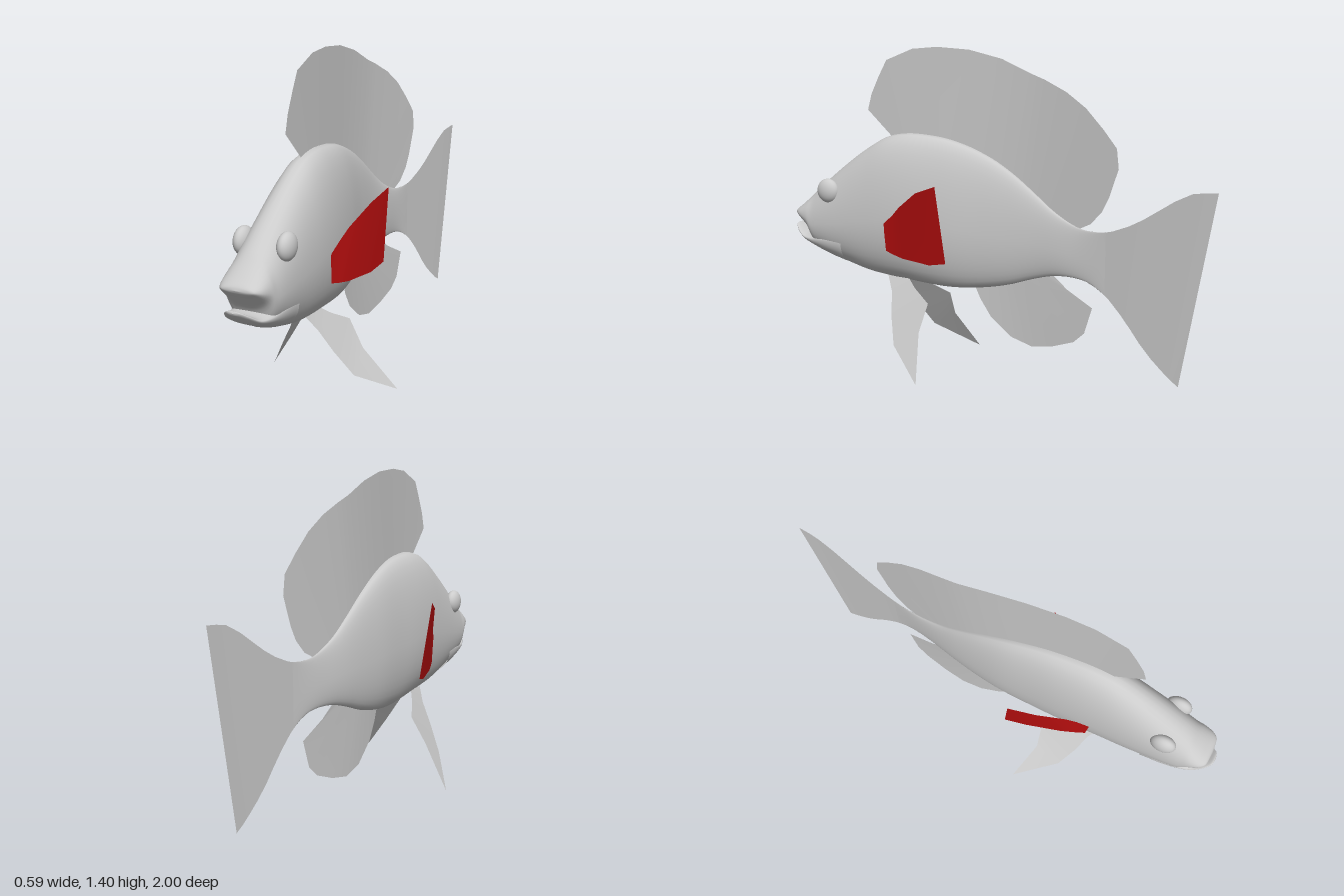
import * as THREE from 'three';

const grey = new THREE.MeshStandardMaterial({ color: 0xcccccc, side: THREE.DoubleSide });
const red = new THREE.MeshStandardMaterial({ color: 0xbb0f0f, side: THREE.DoubleSide });

// Sideways bend of the swimming body: [z, x]
const BEND = [[-1.02, 0.1], [-0.95, 0.095], [-0.75, 0.07], [-0.53, 0.04], [-0.38, 0.018], [-0.2, -0.004],
  [0, -0.008], [0.2, 0.004], [0.45, 0.014], [0.7, 0.016], [1.02, 0.016]];

// Smooth interpolation through the bend table
function spine(z) {
  const n = BEND.length;
  let i = 0;
  while (i < n - 2 && z > BEND[i + 1][0]) i++;
  const slope = k => {
    const a = BEND[Math.max(k - 1, 0)], b = BEND[Math.min(k + 1, n - 1)];
    return (b[1] - a[1]) / (b[0] - a[0]);
  };
  const [z0, x0] = BEND[i], [z1, x1] = BEND[i + 1];
  const h = z1 - z0, t = Math.min(1, Math.max(0, (z - z0) / h)), s = 1 - t;
  return x0 * s * s * (1 + 2 * t) + x1 * t * t * (3 - 2 * t) + h * t * s * (s * slope(i) - t * slope(i + 1));
}

function surface(name, positions, index, material) {
  const g = new THREE.BufferGeometry();
  g.setAttribute('position', new THREE.Float32BufferAttribute(positions, 3));
  g.setIndex(index);
  g.computeVertexNormals();
  const mesh = new THREE.Mesh(g, material);
  mesh.name = name;
  return mesh;
}

// Oval cross-sections from front to back; rows are [z, top, bottom, half width]
function loft(name, rows, middle, rings = 80, sides = 36) {
  const curve = k => new THREE.CatmullRomCurve3(
    rows.map(r => new THREE.Vector3(0, r[k], r[0])), false, 'centripetal');
  const top = curve(1), bottom = curve(2), side = curve(3);
  const pos = [], index = [];
  for (let i = 0; i <= rings; i++) {
    const t = i / rings;
    const a = top.getPoint(t), b = bottom.getPoint(t), w = Math.max(0, side.getPoint(t).y);
    const mid = b.y + (a.y - b.y) * middle;
    for (let j = 0; j < sides; j++) {
      const angle = j / sides * Math.PI * 2, c = Math.cos(angle), s = Math.sin(angle);
      const z = THREE.MathUtils.lerp(b.z, a.z, (s + 1) / 2);
      const x = Math.sign(c) * Math.pow(Math.abs(c), 0.93) * w;
      pos.push(spine(z) + x, mid + s * (s > 0 ? a.y - mid : mid - b.y), z);
      if (i < rings) {
        const p = i * sides + j, q = i * sides + (j + 1) % sides;
        index.push(p, p + sides, q, q, p + sides, q + sides);
      }
    }
  }
  return surface(name, pos, index, grey);
}

// Thin sheet between two edges with matching [x, y, z] points
function sheet(name, a, b, material = grey) {
  const pos = [], index = [];
  a.forEach((p, i) => {
    pos.push(...p, ...b[i]);
    if (i) index.push(2 * i - 2, 2 * i - 1, 2 * i, 2 * i, 2 * i - 1, 2 * i + 1);
  });
  return surface(name, pos, index, material);
}

// Upright fin following the bend; rows are [z, y] of one edge, then [z, y] of the other
function medianFin(name, rows) {
  const point = (z, y) => [spine(z), y, z];
  return sheet(name, rows.map(r => point(r[0], r[1])), rows.map(r => point(r[2], r[3])));
}

export function createModel() {
  const fish = new THREE.Group();
  fish.name = 'fish';

  // Body with upper jaw
  fish.add(loft('body', [
    [0.972, 0.652, 0.652, 0], [0.966, 0.666, 0.64, 0.062], [0.94, 0.688, 0.612, 0.086],
    [0.895, 0.728, 0.56, 0.099], [0.86, 0.762, 0.485, 0.104], [0.8, 0.812, 0.457, 0.109],
    [0.7, 0.89, 0.425, 0.113], [0.6, 0.96, 0.4, 0.115], [0.5, 1.015, 0.387, 0.115],
    [0.4, 1.035, 0.379, 0.112], [0.3, 1.033, 0.37, 0.105], [0.2, 1.02, 0.365, 0.094],
    [0.1, 0.992, 0.37, 0.081], [0, 0.95, 0.385, 0.067], [-0.1, 0.892, 0.41, 0.052],
    [-0.2, 0.82, 0.445, 0.038], [-0.3, 0.747, 0.473, 0.025], [-0.4, 0.698, 0.48, 0.012],
    [-0.47, 0.685, 0.468, 0.005], [-0.54, 0.69, 0.43, 0],
  ], 0.43));

  // Lower jaw
  fish.add(loft('lowerJaw', [
    [1, 0.58, 0.58, 0], [0.995, 0.587, 0.57, 0.026], [0.97, 0.573, 0.547, 0.052],
    [0.93, 0.55, 0.518, 0.073], [0.88, 0.553, 0.492, 0.087], [0.8, 0.58, 0.457, 0.098], [0.7, 0.6, 0.427, 0.1],
  ], 0.6, 30));

  // Tail fin
  fish.add(medianFin('tailFin', [
    [-0.46, 0.686, -0.46, 0.47], [-0.52, 0.685, -0.51, 0.45], [-0.57, 0.698, -0.56, 0.413],
    [-0.64, 0.727, -0.61, 0.363], [-0.7, 0.76, -0.66, 0.305], [-0.76, 0.8, -0.7, 0.255],
    [-0.83, 0.847, -0.75, 0.203], [-0.9, 0.883, -0.8, 0.16], [-0.95, 0.891, -0.835, 0.132], [-1, 0.895, -0.87, 0.11],
  ]));

  // Dorsal fin
  fish.add(medianFin('dorsalFin', [
    [0.6, 1.13, 0.47, 1.01], [0.58, 1.2, 0.45, 1.01], [0.54, 1.28, 0.42, 1.01], [0.5, 1.35, 0.39, 1.01],
    [0.37, 1.4, 0.32, 1.01], [0.25, 1.41, 0.23, 1], [0.1, 1.4, 0.1, 0.97], [-0.05, 1.365, -0.03, 0.91],
    [-0.18, 1.31, -0.13, 0.85], [-0.25, 1.285, -0.19, 0.81], [-0.35, 1.24, -0.25, 0.77],
    [-0.44, 1.18, -0.29, 0.74], [-0.52, 1.1, -0.32, 0.72], [-0.58, 1.03, -0.34, 0.71],
    [-0.59, 0.95, -0.36, 0.7], [-0.55, 0.83, -0.38, 0.69], [-0.52, 0.77, -0.4, 0.69], [-0.47, 0.715, -0.41, 0.685],
  ]));

  // Anal fin
  fish.add(medianFin('analFin', [
    [0.08, 0.39, 0.07, 0.42], [0.05, 0.325, 0.03, 0.42], [0, 0.25, 0, 0.42], [-0.1, 0.172, -0.05, 0.43],
    [-0.2, 0.145, -0.1, 0.44], [-0.3, 0.165, -0.15, 0.46], [-0.4, 0.203, -0.19, 0.47],
    [-0.45, 0.25, -0.22, 0.48], [-0.485, 0.365, -0.25, 0.485], [-0.38, 0.415, -0.28, 0.49],
  ]));

  for (const side of [1, -1]) {
    const label = side > 0 ? 'left' : 'right';

    // Eyes
    const eye = new THREE.Mesh(new THREE.SphereGeometry(0.055, 28, 20), grey);
    eye.scale.x = 0.6;
    eye.position.set(spine(0.76) + side * 0.089, 0.765, 0.765);
    eye.name = label + 'Eye';
    fish.add(eye);

    // Pectoral fins, set slightly differently on the bent body
    const pectoralX = x => side > 0 ? 0.125 + (x - 0.1) * 0.78 : -x;
    const pectoral = rows => rows.map(([x, y, z]) => [pectoralX(x), y, z]);
    fish.add(sheet(label + 'PectoralFin',
      pectoral([[0.103, 0.645, 0.46], [0.12, 0.69, 0.405], [0.142, 0.732, 0.36], [0.2, 0.81, 0.25], [0.235, 0.85, 0.14]]),
      pectoral([[0.1, 0.525, 0.45], [0.115, 0.515, 0.405], [0.132, 0.506, 0.35], [0.17, 0.5, 0.2], [0.193, 0.52, 0.11]]),
      red));

    // Pelvic fins
    const pelvic = rows => rows.map(([x, y, z]) => [side * x + 0.008, y, z]);
    fish.add(sheet(label + 'PelvicFin',
      pelvic([[0.025, 0.39, 0.5], [0.06, 0.325, 0.46], [0.115, 0.23, 0.43], [0.18, 0.12, 0.38], [0.295, 0.005, 0.2]]),
      pelvic([[0.025, 0.4, 0.4], [0.06, 0.355, 0.34], [0.1, 0.305, 0.25], [0.165, 0.19, 0.26], [0.295, 0.005, 0.2]])));
  }
  return fish;
}
